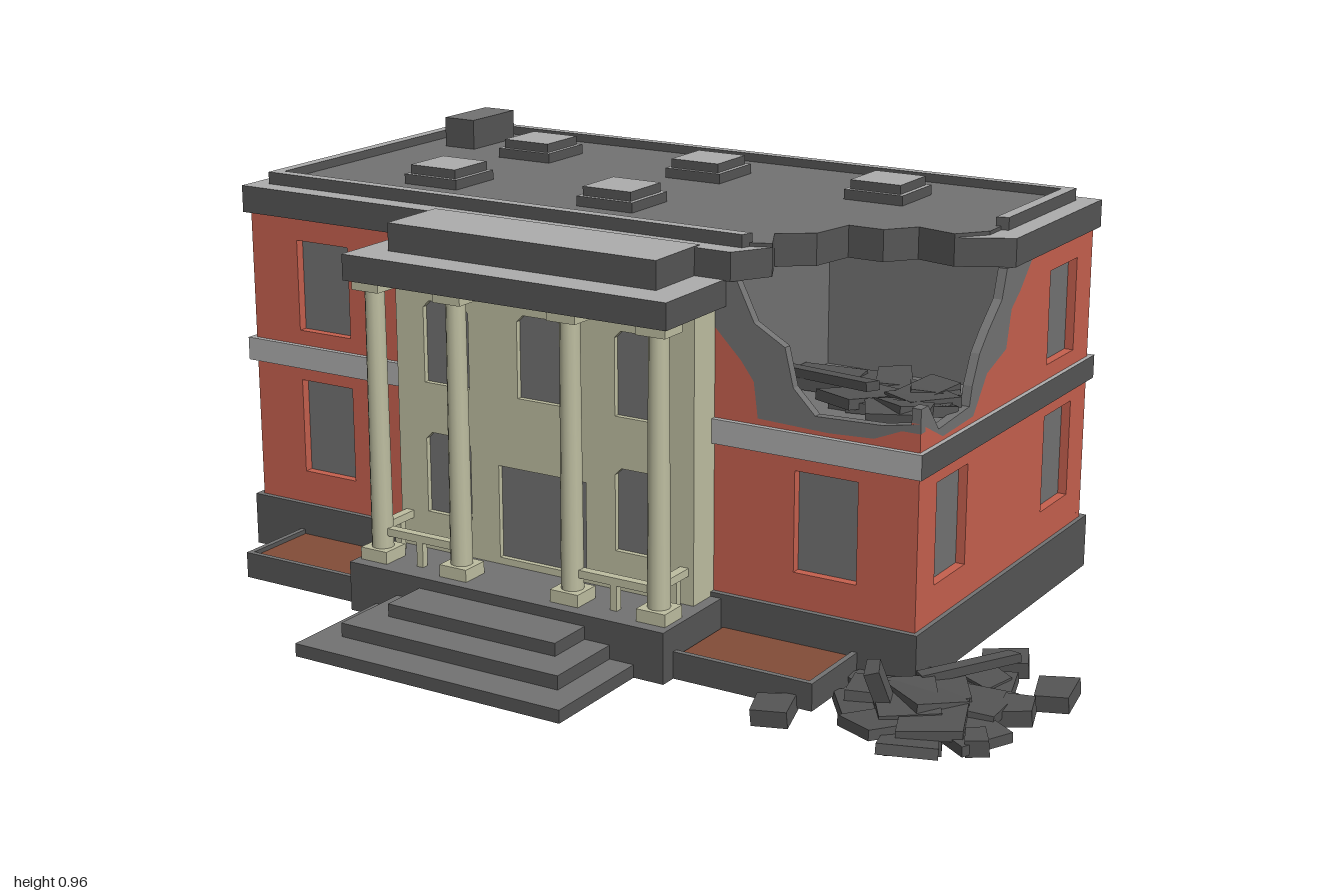
import * as THREE from 'three';

const mat = (name, color, side = THREE.FrontSide) => {
  const m = new THREE.MeshStandardMaterial({ color, side });
  m.name = name;
  return m;
};

export function createModel() {
  const root = new THREE.Group();
  root.name = 'damagedTownHall';
  const brick = mat('brick', 0xc5604e);
  const cream = mat('creamStone', 0xbebea1);
  const light = mat('lightStone', 0xadadad);
  const mid = mat('midGrey', 0x727272);
  const dark = mat('darkGrey', 0x555555);
  const soil = mat('soil', 0x824d38, THREE.DoubleSide);

  const add = (name, geo, material, parent = root) => {
    const m = new THREE.Mesh(geo, material);
    m.name = name;
    parent.add(m);
    return m;
  };
  // Box from its limits, with separate top and front/back colours
  const box = (name, [x0, x1], [y0, y1], [z0, z1], side, top = side, face = side) => {
    const g = new THREE.BoxGeometry(x1 - x0, y1 - y0, z1 - z0);
    g.translate((x0 + x1) / 2, (y0 + y1) / 2, (z0 + z1) / 2);
    return add(name, g, [side, side, top, side, face, face]);
  };
  const shapeOf = (pts) => new THREE.Shape(pts.map(([x, y]) => new THREE.Vector2(x, y)));
  const rect = (x0, x1, y0, y1) => [[x0, y0], [x1, y0], [x1, y1], [x0, y1]];
  // Horizontal slab from a plan outline of [x, z] points; a hole runs the other way round
  const slab = (name, pts, y0, y1, caps, sides, hole) => {
    const s = shapeOf(pts.map(([x, z]) => [x, -z]));
    if (hole) s.holes.push(shapeOf(hole.map(([x, z]) => [x, -z]).reverse()));
    const g = new THREE.ExtrudeGeometry(s, { depth: y1 - y0, bevelEnabled: false });
    g.rotateX(-Math.PI / 2).translate(0, y0, 0);
    return add(name, g, [caps, sides]);
  };
  // Hollow plinth, open underneath; returns its skirt
  const plinth = (name, [x0, x1], [y0, y1], [z0, z1], t) => {
    box(name + 'Top', [x0, x1], [y1 - t, y1], [z0, z1], dark, mid);
    return slab(name + 'Skirt', rect(x0, x1, z0, z1), y0, y1 - t, dark, dark,
      rect(x0 + t, x1 - t, z0 + t, z1 - t));
  };
  // Upright wall panel with openings, turned to face outward
  const T = 0.02;
  const panel = (name, pts, holes, angle, dist, material) => {
    const s = shapeOf(pts);
    s.holes = holes.map((h) => shapeOf(h));
    const g = new THREE.ExtrudeGeometry(s, { depth: T, bevelEnabled: false });
    g.translate(0, 0, dist - T).rotateY(angle);
    return add(name, g, material);
  };
  const arch = (x0, x1, y0, y1, c = 0.015) =>
    [[x0, y0], [x1, y0], [x1, y1 - c], [x1 - c, y1], [x0 + c, y1], [x0, y1 - c]];
  const LOW = [0.235, 0.45], HIGH = [0.565, 0.77];
  const win = (c, row) => rect(c - 0.071, c + 0.071, ...row);

  // Foundation with one splayed corner
  const skirt = plinth('foundation', [-0.975, 0.71], [0.04, 0.16], [-0.648, 0.212], 0.015);
  const bp = skirt.geometry.attributes.position;
  for (let i = 0; i < bp.count; i++) {
    if (bp.getX(i) < -0.95 && bp.getY(i) < 0.1 && bp.getZ(i) < -0.6) {
      bp.setX(i, bp.getX(i) - 0.025);
      bp.setZ(i, bp.getZ(i) - 0.016);
    }
  }
  skirt.geometry.computeVertexNormals();

  // Inner core: its faces are the window panes; the upper floor has an open corner room
  box('lowerCore', [-0.94, 0.68], [0.16, 0.56], [-0.61, 0.18], mid);
  slab('upperCore', [[-0.94, -0.61], [0.68, -0.61], [0.68, -0.19], [0.29, -0.19], [0.29, 0.18], [-0.94, 0.18]],
    0.56, 0.82, mid, mid);

  // Brick walls, with the bare plaster edge around the breach
  const edgeF = [[0.70, 0.57], [0.66, 0.57], [0.60, 0.545], [0.50, 0.54], [0.34, 0.545],
    [0.33, 0.62], [0.30, 0.66], [0.24, 0.72], [0.24, 0.82]];
  const edgeR = [[0.31, 0.82], [0.25, 0.76], [0.21, 0.73], [0.19, 0.65], [0.10, 0.62],
    [0.04, 0.545], [-0.10, 0.54], [-0.20, 0.59]];
  panel('frontWall', [[-0.96, 0.16], [0.70, 0.16], ...edgeF, [-0.96, 0.82]],
    [win(-0.762, LOW), win(-0.762, HIGH), win(0.497, LOW)], 0, 0.2, brick);
  panel('frontBrokenPlaster', [...edgeF, [0.29, 0.82], [0.33, 0.74], [0.40, 0.70], [0.42, 0.62],
    [0.47, 0.57], [0.62, 0.575], [0.70, 0.59]], [], 0, 0.2, mid);
  panel('rightWall', [[-0.199, 0.16], [0.629, 0.16], [0.629, 0.82], ...edgeR],
    [win(-0.048, LOW), win(0.477, LOW), win(0.477, HIGH)], Math.PI / 2, 0.7, brick);
  panel('rightBrokenPlaster', [...edgeR, [-0.2, 0.62], [-0.17, 0.62], [-0.12, 0.56], [0.02, 0.57],
    [0.03, 0.61], [0.06, 0.67], [0.10, 0.71], [0.16, 0.76], [0.18, 0.82]], [], Math.PI / 2, 0.7, mid);
  panel('leftWall', rect(-0.629, 0.199, 0.16, 0.82),
    [-0.477, 0.048].flatMap((c) => [win(c, LOW), win(c, HIGH)]), -Math.PI / 2, 0.96, brick);
  const backHoles = [-0.56, -0.235, 0.49, 0.81].flatMap((c) => [win(c, LOW), win(c, HIGH)]);
  backHoles.push(arch(0.012, 0.248, 0.175, 0.42, 0.03), arch(0.012, 0.248, 0.545, 0.75, 0.03));
  panel('backWall', rect(-0.70, 0.96, 0.16, 0.82), backHoles, Math.PI, 0.63, brick);

  // Floor band, cornice, roof and parapet, broken off over the open corner
  const plan = (x0, x1, z0, z1) => [[x0, z0], [x1, z0], [x1, -0.2], [0.60, -0.14], [0.51, -0.16],
    [0.46, -0.1], [0.38, -0.1], [0.36, 0], [0.29, 0.05], [0.33, 0.13], [0.28, z1], [x0, z1]];
  box('floorBand', [-0.975, 0.71], [0.48, 0.532], [-0.648, 0.212], dark, light, light);
  slab('cornice', plan(-0.975, 0.71, -0.648, 0.21), 0.82, 0.876, dark, dark);
  slab('corniceTop', plan(-0.975, 0.71, -0.648, 0.21), 0.876, 0.88, light, dark);
  slab('roof', plan(-0.92, 0.65, -0.6, 0.15), 0.872, 0.888, mid, dark);
  slab('parapet', [[0.28, 0.165], [-0.935, 0.165], [-0.935, -0.61], [0.665, -0.61], [0.665, -0.26],
    [0.64, -0.25], [0.64, -0.588], [-0.91, -0.588], [-0.91, 0.14], [0.29, 0.14]], 0.88, 0.907, light, dark);

  // Skylights and chimney
  for (const [x, z] of [[-0.585, -0.395], [-0.13, -0.395], [0.32, -0.395], [-0.585, -0.035], [-0.13, -0.035]]) {
    box('skylightFrame', [x - 0.07, x + 0.07], [0.885, 0.91], [z - 0.07, z + 0.07], dark, light);
    box('skylightTop', [x - 0.06, x + 0.06], [0.91, 0.93], [z - 0.06, z + 0.06], dark, light);
  }
  box('chimney', [-0.845, -0.763], [0.885, 0.957], [-0.54, -0.375], dark, mid);

  // Portico: floor, steps, wall, roof
  const CX = -0.13;
  plinth('porticoFloor', [-0.522, 0.265], [0.04, 0.15], [0.2, 0.438], 0.012);
  [[0.325, 0.068, 0.705], [0.268, 0.098, 0.625], [0.208, 0.126, 0.545]].forEach(([w, y, z]) =>
    plinth('step', [CX - w, CX + w], [0.04, y], [0.43, z], 0.008));
  box('porticoWallCore', [-0.5, 0.24], [0.15, 0.766], [0.19, 0.26], cream);
  const porticoHoles = [];
  for (const x of [CX - 0.24, CX, CX + 0.24]) {
    porticoHoles.push(arch(x - 0.058, x + 0.058, 0.525, 0.705));
    if (x !== CX) porticoHoles.push(arch(x - 0.058, x + 0.058, 0.235, 0.415));
  }
  porticoHoles.push(rect(CX - 0.11, CX + 0.11, 0.165, 0.37));
  panel('porticoWall', rect(-0.5, 0.24, 0.15, 0.766), porticoHoles, 0, 0.28, cream);
  for (const h of porticoHoles) {
    const g = new THREE.ShapeGeometry(shapeOf(h));
    add('porticoPane', g.translate(0, 0, 0.268), mid);
  }
  box('porticoEntablature', [-0.522, 0.265], [0.766, 0.822], [0.19, 0.428], dark, light);
  box('porticoRoof', [-0.457, 0.197], [0.82, 0.882], [0.19, 0.355], dark, light);

  // Columns with plinths and capitals
  const columns = [-0.478, -0.27, 0.01, 0.218];
  for (const x of columns) {
    const shaft = new THREE.CylinderGeometry(0.021, 0.024, 0.58, 12);
    add('column', shaft.translate(x, 0.46, 0.378), cream);
    for (const [y0, y1] of [[0.15, 0.177], [0.744, 0.767]]) {
      box('columnBlock', [x - 0.034, x + 0.034], [y0, y1], [0.345, 0.411], cream);
    }
  }
  // Portico railings
  for (const [a, b] of [[0, 1], [2, 3]]) {
    const m = (columns[a] + columns[b]) / 2;
    box('frontRail', [columns[a], columns[b]], [0.205, 0.222], [0.368, 0.388], cream);
    box('frontRailPost', [m - 0.008, m + 0.008], [0.15, 0.21], [0.37, 0.386], cream);
  }
  for (const x of [columns[0], columns[3]]) {
    box('sideRail', [x - 0.01, x + 0.01], [0.213, 0.23], [0.28, 0.37], cream);
    box('sideRailPost', [x - 0.008, x + 0.008], [0.15, 0.215], [0.308, 0.324], cream);
  }

  // Planting beds
  for (const [x0, x1] of [[-0.845, -0.522], [0.265, 0.58]]) {
    const outer = x0 < -0.6 ? [x0, x0 + 0.012] : [x1 - 0.012, x1];
    box('bedFront', [x0, x1], [0.04, 0.098], [0.388, 0.4], dark, mid);
    box('bedSide', outer, [0.04, 0.098], [0.2, 0.388], dark, mid);
    const g = new THREE.PlaneGeometry(x1 - x0 - 0.01, 0.19).rotateX(-Math.PI / 2);
    add('bedSoil', g.translate((x0 + x1) / 2, 0.088, 0.3), soil);
  }

  // Back balconies
  for (const y of [0.145, 0.52]) {
    box('balconyFloor', [-0.33, 0.065], [y, y + 0.02], [-0.707, -0.62], dark, mid);
    box('balconyRail', [-0.327, 0.062], [y + 0.08, y + 0.095], [-0.695, -0.68], cream);
    for (const x of [-0.32, 0.055]) {
      box('balconySideRail', [x - 0.007, x + 0.007], [y + 0.08, y + 0.095], [-0.68, -0.625], cream);
    }
    for (const x of [-0.32, -0.195, -0.07, 0.055]) {
      box('balconyPost', [x - 0.006, x + 0.006], [y + 0.02, y + 0.08], [-0.693, -0.682], cream);
    }
  }

  // Rubble: skewed blocks on the ground and in the breach
  let seed = 7;
  const rnd = () => (seed = (seed * 16807) % 2147483647) / 2147483647;
  const chunk = (x, y, z, w, h, d, turn, tilt = 0) => {
    const g = new THREE.BoxGeometry(w, h, d);
    const p = g.attributes.position;
    const skew = [rnd(), rnd(), rnd(), rnd()];
    for (let i = 0; i < p.count; i++) {
      const k = skew[(p.getX(i) > 0 ? 1 : 0) + (p.getZ(i) > 0 ? 2 : 0)];
      p.setX(i, p.getX(i) * (0.75 + 0.4 * k));
      p.setZ(i, p.getZ(i) * (1.15 - 0.4 * k));
    }
    g.computeVertexNormals();
    const m = add('rubble', g, dark);
    m.position.set(x, y, z);
    m.rotation.set(tilt, turn, tilt * 0.6);
  };
  for (let i = 0; i < 12; i++) {
    const a = i * 2.4, r = 0.036 * Math.sqrt(i);
    chunk(0.765 + r * Math.cos(a), 0.07 - 0.003 * i, 0.28 + r * 1.2 * Math.sin(a),
      0.12 + 0.07 * rnd(), 0.022, 0.1 + 0.06 * rnd(), rnd() * 3, (rnd() - 0.5) * 0.3);
  }
  for (const [x, z, s, t] of [[0.805, -0.01, 0.085, 0.4], [0.955, 0.08, 0.085, 0.15], [0.92, 0.375, 0.05, 0.5],
    [0.52, 0.44, 0.08, 0.3], [0.61, 0.23, 0.06, 0.9], [0.92, 0.2, 0.07, 0.2], [0.82, 0.11, 0.07, 1]]) {
    chunk(x, 0.045, z, s, 0.035, s * 1.05, t, 0.08);
  }
  chunk(0.78, 0.016, 0.37, 0.11, 0.032, 0.09, 0.5);
  chunk(0.79, 0.09, 0.15, 0.23, 0.02, 0.025, 0.8, 0.1);
  chunk(0.70, 0.1, 0.35, 0.03, 0.1, 0.05, 0.4, 0.3);
  for (let i = 0; i < 11; i++) {
    chunk(0.42 + 0.2 * rnd(), 0.57 + 0.012 * rnd(), -0.08 + 0.2 * rnd(),
      0.09 + 0.08 * rnd(), 0.022, 0.08 + 0.06 * rnd(), rnd() * 3, (rnd() - 0.5) * 0.25);
  }
  chunk(0.37, 0.575, -0.03, 0.14, 0.025, 0.14, 0.05);
  chunk(0.41, 0.6, 0.03, 0.24, 0.02, 0.025, -0.2, 0.08);
  return root;
}
